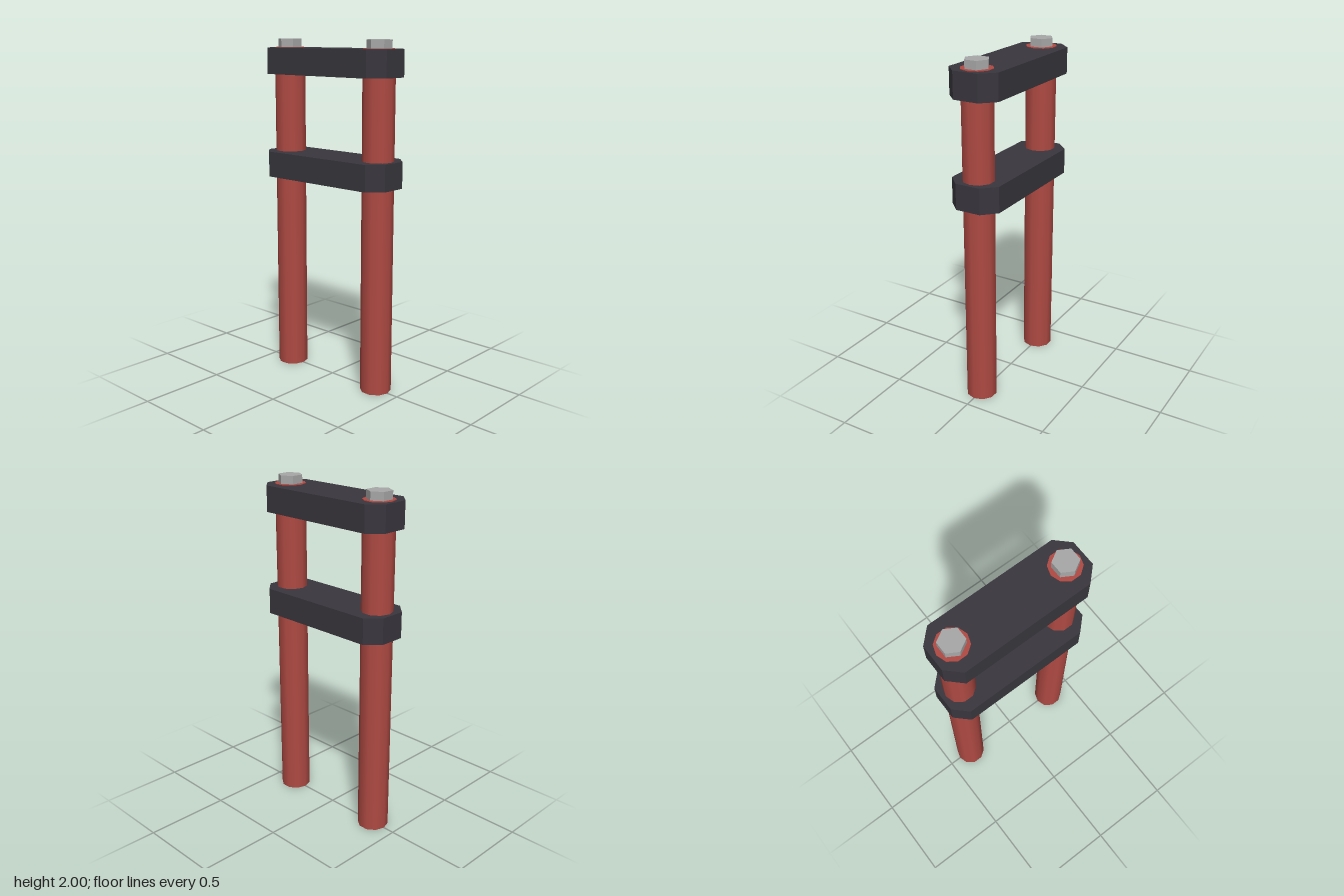
import * as THREE from 'three';

export function createModel() {
  const root = new THREE.Group();
  root.name = 'forkAssembly';

  const material = (name, color) => {
    const m = new THREE.MeshStandardMaterial({ color });
    m.name = name;
    return m;
  };
  const red = material('red tube', 0xb04a43);
  const dark = material('dark clamp', 0x39373e);
  const steel = material('grey steel', 0xa8a8a8);
  steel.flatShading = true;

  const add = (name, geometry, mat, y, z = 0) => {
    const mesh = new THREE.Mesh(geometry, mat);
    mesh.name = name;
    mesh.position.set(0, y, z);
    root.add(mesh);
  };

  // Clamp plate: long octagon with chamfered corners, extruded upward
  const outline = [
    [0.15, 0.375], [0.075, 0.452], [-0.075, 0.452], [-0.15, 0.375],
    [-0.15, -0.375], [-0.075, -0.452], [0.075, -0.452], [0.15, -0.375],
  ].map(([x, z]) => new THREE.Vector2(x, z));
  const clamp = new THREE.ExtrudeGeometry(new THREE.Shape(outline), { depth: 0.15, bevelEnabled: false });
  clamp.rotateX(-Math.PI / 2);
  add('upperClamp', clamp, dark, 1.8);
  add('lowerClamp', clamp, dark, 1.195);

  // Fork tubes, just proud of the upper clamp, each with a hexagonal cap bolt
  const tubeTop = 1.953;
  const tube = new THREE.CylinderGeometry(0.09, 0.09, tubeTop, 10);
  const bolt = new THREE.CylinderGeometry(0.071, 0.071, 0.05, 6);
  bolt.rotateY(Math.PI / 6);
  for (const [end, z] of [['front', 0.34], ['back', -0.34]]) {
    add(end + 'Tube', tube, red, tubeTop / 2, z);
    add(end + 'CapBolt', bolt, steel, 1.975, z);
  }
  return root;
}
